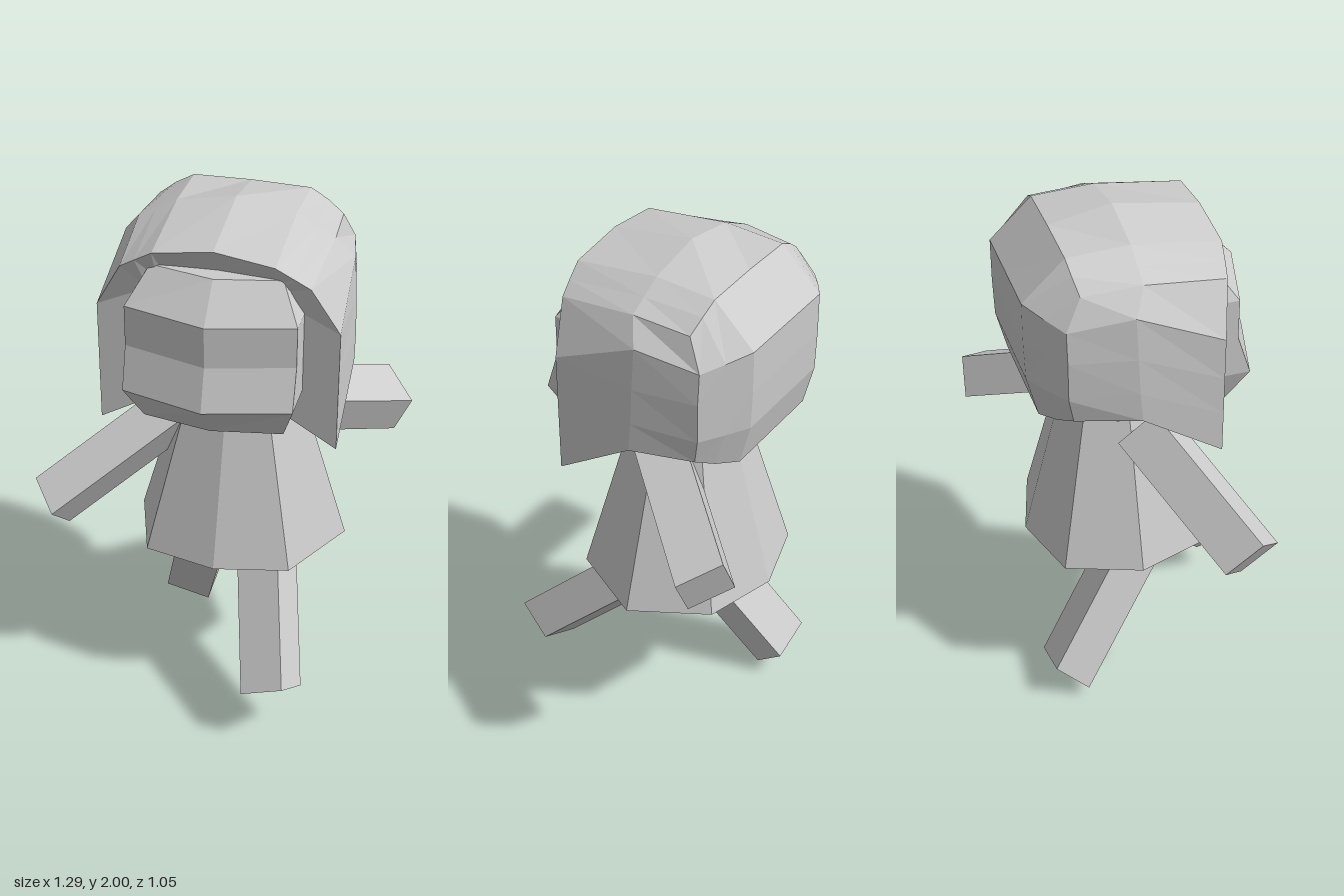
import * as THREE from 'three';

const grey = new THREE.MeshStandardMaterial({ color: 0xcccccc, flatShading: true, side: THREE.DoubleSide });
grey.name = 'plain grey';
const CX = 0.03; // centre line of head and hair

// Flat-shaded surface through rows of points; closed rows make a capped loft.
function skin(name, rows, closed = false) {
  const pos = [];
  const tri = (a, b, c) => pos.push(...a, ...b, ...c);
  const n = rows[0].length;
  for (let i = 0; i < rows.length - 1; i++) {
    for (let j = 0; j < (closed ? n : n - 1); j++) {
      const k = (j + 1) % n;
      const a = rows[i][j], b = rows[i][k], c = rows[i + 1][k], d = rows[i + 1][j];
      tri(a, b, c);
      tri(a, c, d);
    }
  }
  if (closed) {
    const bottom = rows[0], top = rows[rows.length - 1];
    for (let j = 1; j < n - 1; j++) {
      tri(bottom[0], bottom[j + 1], bottom[j]);
      tri(top[0], top[j], top[j + 1]);
    }
  }
  const g = new THREE.BufferGeometry();
  g.setAttribute('position', new THREE.Float32BufferAttribute(pos, 3));
  g.computeVertexNormals();
  const mesh = new THREE.Mesh(g, grey);
  mesh.name = name;
  return mesh;
}

// Box limb from the centre of its free end, two section edges and its axis.
function limb(name, end, u, v, w) {
  const [U, V, W] = [u, v, w].map((a) => new THREE.Vector3(...a));
  if (U.clone().cross(V).dot(W) < 0) U.negate();
  const centre = new THREE.Vector3(...end).addScaledVector(W, 0.5);
  const g = new THREE.BoxGeometry(1, 1, 1);
  g.applyMatrix4(new THREE.Matrix4().makeBasis(U, V, W).setPosition(centre));
  g.computeVertexNormals();
  const mesh = new THREE.Mesh(g, grey);
  mesh.name = name;
  return mesh;
}

// One half of the hair: s = 1 for the left, -1 for the right.
function hairHalf(s) {
  const half = new THREE.Group();
  half.name = s > 0 ? 'leftHair' : 'rightHair';
  const add = (name, rows) => {
    const placed = rows.map((r) => r.map(([x, y, z]) => [CX + s * x, y, z]));
    half.add(skin(name, s > 0 ? placed : placed.reverse()));
  };
  // inner rim, front edge, crown, back and underside
  const cap = [
    [[0, 1.84, 0.2], [0.2, 1.82, 0.2], [0.22, 1.79, 0.2], [0.25, 1.74, 0.2]],
    [[0, 1.945, 0.265], [0.215, 1.915, 0.27], [0.28, 1.875, 0.26], [0.335, 1.84, 0.25]],
    [[0, 2.0, -0.055], [0.215, 1.96, -0.055], [0.29, 1.92, -0.055], [0.355, 1.885, -0.055]],
    [[0, 1.955, -0.285], [0.215, 1.95, -0.285], [0.28, 1.915, -0.28], [0.34, 1.87, -0.27]],
    [[0, 1.8, -0.44], [0.215, 1.8, -0.44], [0.3, 1.78, -0.385], [0.375, 1.76, -0.33]],
    [[0, 1.64, -0.44], [0.215, 1.64, -0.44], [0.3, 1.64, -0.385], [0.385, 1.64, -0.33]],
    [[0, 1.49, -0.435], [0.215, 1.49, -0.435], [0.3, 1.49, -0.385], [0.385, 1.49, -0.33]],
    [[0, 1.33, -0.395], [0.215, 1.33, -0.395], [0.3, 1.355, -0.35], [0.37, 1.39, -0.31]],
    [[0, 1.28, -0.08], [0.215, 1.29, -0.08], [0.325, 1.34, -0.08], [0.435, 1.385, -0.08]],
  ];
  add('hairCap', cap);
  // hanging side panel
  const side = [
    [1.66, 1.5, 1.35, 1.19].map((y) => [0.435, y, 0.215]),
    [[0.42, 1.8, -0.1], [0.43, 1.64, -0.095], [0.435, 1.5, -0.09], [0.435, 1.385, -0.08]],
    cap.slice(4, 8).map((r) => r[3]),
  ];
  add('hairSide', side);
  // bevel between cap and side panel
  add('hairBevel', [[cap[0][3], side[0][0]], [cap[1][3], side[0][0]],
    [cap[2][3], side[1][0]], [cap[3][3], side[2][0]]]);
  // front and underside of the hanging lock
  const inner = [0.25, 1.29, 0.2];
  add('lockFront', [[inner, side[0][3]], [cap[0][3], side[0][0]]]);
  add('lockUnderside', [[cap[8][1], side[1][3]], [inner, side[0][3]]]);
  return half;
}

export function createModel() {
  const model = new THREE.Group();
  model.name = 'figure';

  // flared dress, eight-sided
  const hem = [[0.035, 0.3], [0.31, 0.24], [0.465, -0.055], [0.31, -0.33],
    [0.035, -0.41], [-0.24, -0.33], [-0.34, -0.055], [-0.24, 0.24]];
  const ring = (y, k) => hem.map(([x, z]) => [0.05 + (x - 0.05) * k, y, -0.055 + (z + 0.055) * k]);
  model.add(skin('dress', [ring(0.63, 1), ring(1.26, 0.54)], true));

  // head rows: height, half width, z of the centre front, corners and back
  const headRows = [
    [1.26, 0.255, 0.315, 0.27, -0.12],
    [1.41, 0.305, 0.44, 0.36, -0.2],
    [1.565, 0.305, 0.39, 0.31, -0.2],
    [1.72, 0.305, 0.39, 0.31, -0.2],
    [1.845, 0.235, 0.27, 0.22, -0.15],
  ];
  model.add(skin('head', headRows.map(([y, w, zc, ze, zb]) => [
    [CX, y, zc], [CX + w, y, ze], [CX + w, y, zb], [CX - w, y, zb], [CX - w, y, ze],
  ]), true));

  const hair = new THREE.Group();
  hair.name = 'hair';
  hair.add(hairHalf(1), hairHalf(-1));
  model.add(hair);

  // swinging arms and legs
  model.add(
    limb('rightArm', [-0.595, 0.816, 0.273], [0.02, -0.12, -0.13], [0.09, -0.085, 0.095], [0.44, 0.335, -0.265]),
    limb('leftArm', [0.555, 1.01, -0.457], [-0.065, -0.145, -0.01], [0.115, -0.075, 0.12], [-0.36, 0.2, 0.42]),
    limb('rightLeg', [-0.212, 0.082, -0.33], [-0.175, 0.045, 0.005], [0.03, 0.11, -0.12], [0.14, 0.48, 0.33]),
    limb('leftLeg', [0.298, 0.219, 0.45], [0.16, 0.07, 0.02], [0.045, -0.08, -0.135], [-0.14, 0.45, -0.48]),
  );
  return model;
}
